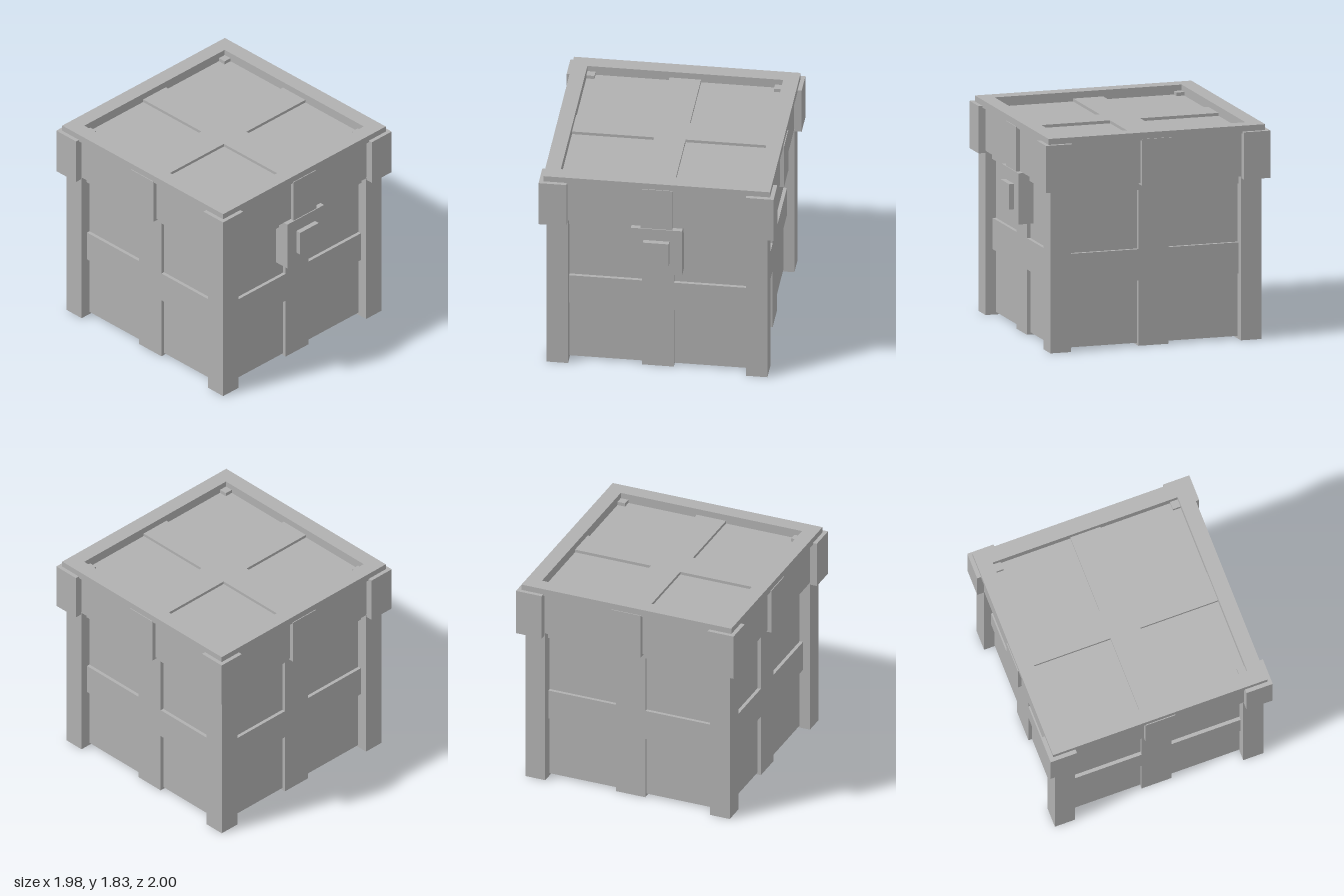
import * as THREE from 'three';

export function createModel() {
  const model = new THREE.Group();
  model.name = 'chest';
  const grey = new THREE.MeshStandardMaterial({ color: 0xb0b0b0 });
  grey.name = 'grey';

  const chest = new THREE.Group();
  chest.name = 'chestShell';
  chest.position.z = -0.012;
  model.add(chest);

  // Box given by half width, bottom, top, half depth and centre
  function box(parent, name, hx, y0, y1, hz, x = 0, z = 0) {
    const mesh = new THREE.Mesh(new THREE.BoxGeometry(hx * 2, y1 - y0, hz * 2), grey);
    mesh.name = name;
    mesh.position.set(x, (y0 + y1) / 2, z);
    parent.add(mesh);
    return mesh;
  }

  // Square frame lying flat, with a square opening
  function frame(name, outer, inner, y0, y1) {
    const square = (Type, h) => new Type([[-h, -h], [h, -h], [h, h], [-h, h]].map(([x, y]) => new THREE.Vector2(x, y)));
    const shape = square(THREE.Shape, outer);
    shape.holes.push(square(THREE.Path, inner));
    const geometry = new THREE.ExtrudeGeometry(shape, { depth: y1 - y0, bevelEnabled: false });
    geometry.rotateX(-Math.PI / 2);
    const mesh = new THREE.Mesh(geometry, grey);
    mesh.name = name;
    mesh.position.y = y0;
    chest.add(mesh);
  }

  // Body panels with crossing straps and a collar below the lid
  box(chest, 'bodyPanels', 0.835, 0.02, 1.4, 0.835);
  box(chest, 'frontBackStrap', 0.133, 0, 1.35, 0.865);
  box(chest, 'sideStrap', 0.865, 0, 1.35, 0.133);
  box(chest, 'middleStrap', 0.865, 0.556, 0.822, 0.865);
  box(chest, 'bodyCollar', 0.87, 1.325, 1.4, 0.87);

  // Lid panel, raised rim and crossing lid straps
  box(chest, 'lidPanel', 0.925, 1.395, 1.75, 0.925);
  frame('lidWall', 0.925, 0.823, 1.75, 1.765);
  frame('lidRim', 0.953, 0.823, 1.765, 1.83);
  box(chest, 'lidFrontBackStrap', 0.133, 1.378, 1.775, 0.96);
  box(chest, 'lidSideStrap', 0.96, 1.378, 1.775, 0.133);

  // Corner posts and lid corner blocks
  for (const sx of [-1, 1]) {
    for (const sz of [-1, 1]) {
      box(chest, 'cornerPost', 0.09, 0, 1.4, 0.09, sx * 0.838, sz * 0.838);
      box(chest, 'lidCorner', 0.117, 1.378, 1.78, 0.117, sx * 0.871, sz * 0.871);
    }
  }

  // Latch on the front
  const latch = new THREE.Group();
  latch.name = 'latch';
  model.add(latch);
  box(latch, 'latchPlate', 0.215, 0.96, 1.395, 0.07, 0, 0.886);
  box(latch, 'latchButton', 0.109, 1.07, 1.285, 0.03, 0, 0.97);

  return model;
}
